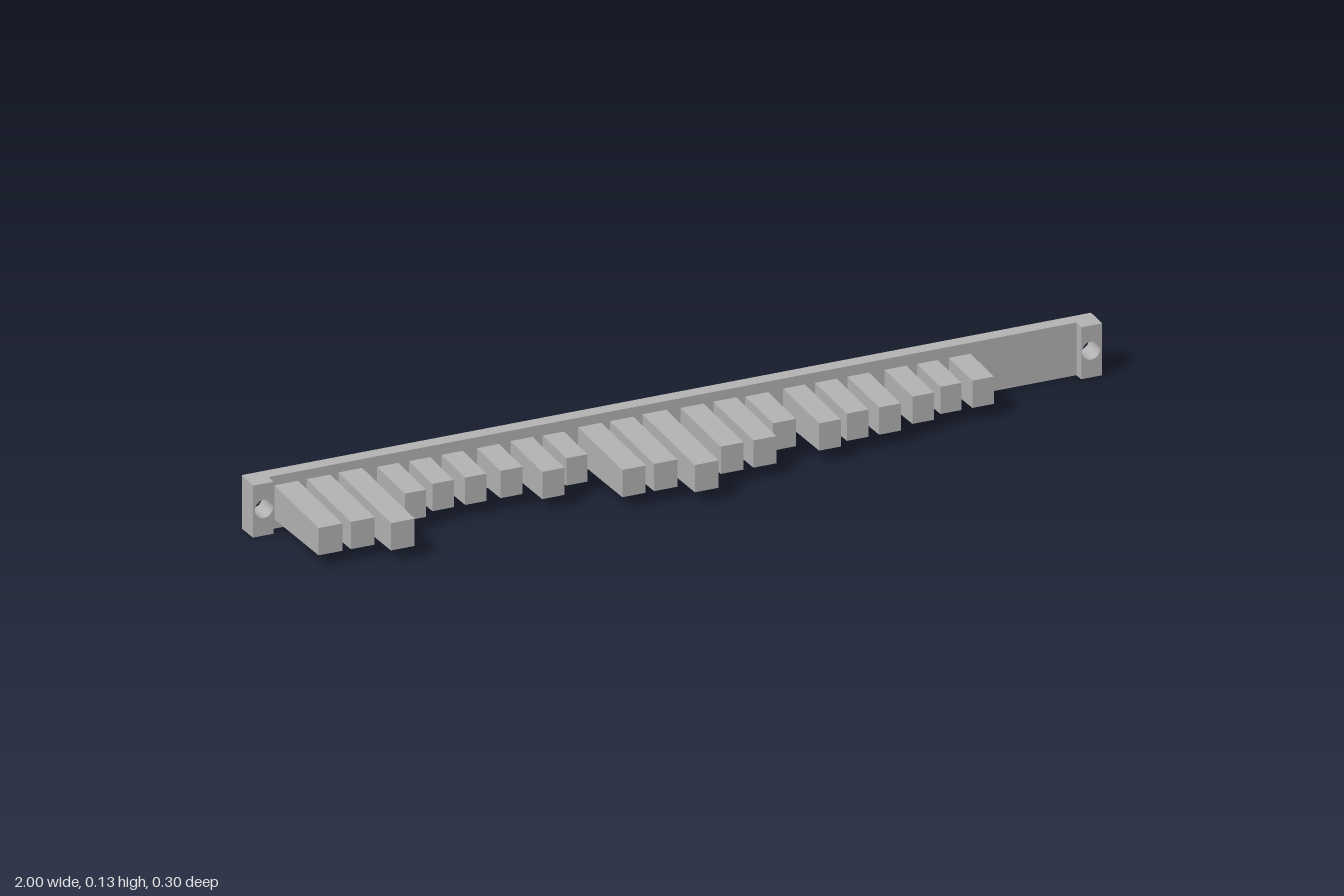
import * as THREE from 'three';

const MID = 0.063;          // centre height
const DRAFT = 0.035;        // moulding draft on tops and bottoms
const BACK = -0.148, PLATE = -0.117, TAB = -0.092;

// Grow a part vertically by the draft the further it lies behind zFront
function draft(geometry, zFront) {
  const p = geometry.attributes.position;
  for (let i = 0; i < p.count; i++) {
    const grow = DRAFT * (zFront - p.getZ(i));
    p.setY(i, p.getY(i) + Math.sign(p.getY(i)) * grow);
  }
  geometry.computeVertexNormals();
  return geometry;
}

// Rectangular slab from z0 to z1 with round screw holes at the given x
function slab(x0, x1, z0, z1, holes) {
  const h = 0.061;
  const shape = new THREE.Shape([
    new THREE.Vector2(x0, -h), new THREE.Vector2(x1, -h),
    new THREE.Vector2(x1, h), new THREE.Vector2(x0, h),
  ]);
  for (const x of holes) {
    shape.holes.push(new THREE.Path().absarc(x, 0.002, 0.0215, 0, Math.PI * 2, true));
  }
  const g = new THREE.ExtrudeGeometry(shape, { depth: z1 - z0, bevelEnabled: false, curveSegments: 12 });
  g.translate(0, 0, z0);
  // only the outer edges are drafted, the holes stay straight
  const p = g.attributes.position;
  for (let i = 0; i < p.count; i++) {
    const y = p.getY(i);
    if (Math.abs(y) > h - 1e-4) p.setY(i, y + Math.sign(y) * DRAFT * (TAB - p.getZ(i)));
  }
  g.computeVertexNormals();
  return g;
}

export function createModel() {
  const group = new THREE.Group();
  const grey = new THREE.MeshStandardMaterial({ color: 0xb2b2b2 });
  grey.name = 'grey plastic';

  const add = (name, geometry, x = 0) => {
    const mesh = new THREE.Mesh(geometry, grey);
    mesh.name = name;
    mesh.position.set(x, MID, 0);
    group.add(mesh);
  };

  // Long back plate and the raised mounting tab at each end
  add('backPlate', slab(-1, 1, BACK, PLATE, [-0.974, 0.974]));
  add('rightTab', slab(-1, -0.951, PLATE, TAB, [-0.974]));
  add('leftTab', slab(0.951, 1, PLATE, TAB, [0.974]));

  // Teeth: [centre x, length step, width]
  const teeth = [
    [-0.91, 5, 0.056], [-0.834, 5, 0.056], [-0.759, 7, 0.056],
    [-0.671, 1, 0.05], [-0.596, 0, 0.05], [-0.519, 0, 0.05],
    [-0.435, 0, 0.052], [-0.356, 2, 0.052], [-0.281, 0, 0.05],
    [-0.195, 5, 0.055], [-0.12, 5, 0.055], [-0.043, 7, 0.056],
    [0.046, 4, 0.054], [0.123, 4, 0.054], [0.198, 1, 0.054],
    [0.286, 3, 0.051], [0.361, 2, 0.051], [0.437, 2, 0.051],
    [0.525, 1, 0.051], [0.6, 0, 0.049], [0.676, 0, 0.051],
  ];
  teeth.forEach(([x, step, width], i) => {
    const tip = 0.003 + step * 0.021;
    const g = new THREE.BoxGeometry(width, 0.064, tip - PLATE);
    g.translate(0, 0, (tip + PLATE) / 2);
    add('tooth' + (i + 1), draft(g, tip), x);
  });

  return group;
}
